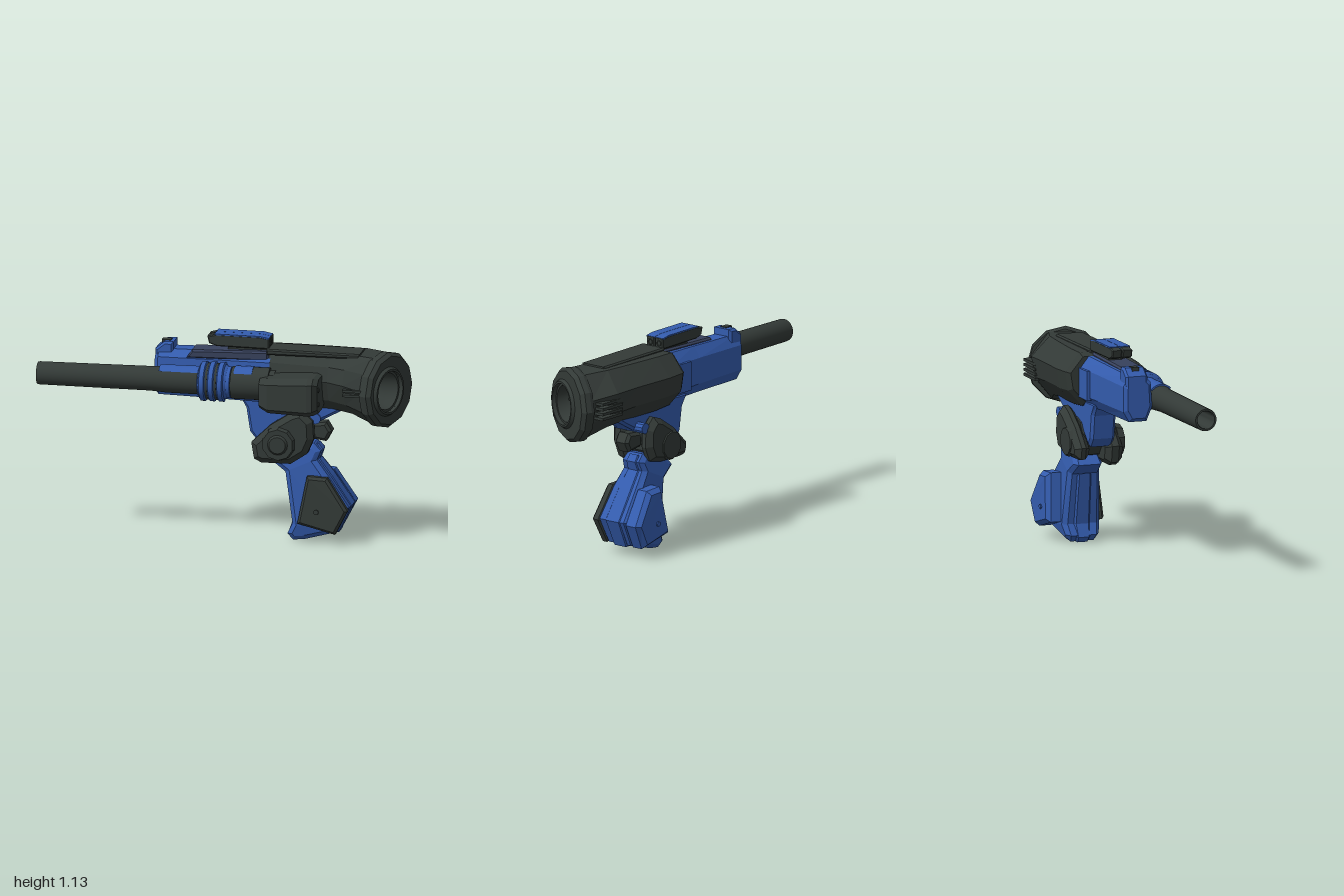
import * as THREE from 'three';
import { toCreasedNormals } from 'three/addons/utils/BufferGeometryUtils.js';

const paint = (name, color) => Object.assign(new THREE.MeshStandardMaterial({ color }), { name });

export function createModel() {
  const group = new THREE.Group();
  const dark = paint('dark gunmetal', 0x333a37);
  const blue = paint('blue', 0x345cae);
  const slate = paint('blue slate', 0x37415c);

  const add = (name, geo, mat) => {
    const m = new THREE.Mesh(geo, mat);
    m.name = name;
    group.add(m);
    return m;
  };
  const box = (name, mat, x0, x1, y0, y1, z0, z1) =>
    add(name, new THREE.BoxGeometry(x1 - x0, y1 - y0, z1 - z0), mat)
      .position.set((x0 + x1) / 2, (y0 + y1) / 2, (z0 + z1) / 2);

  // Bevelled plate with an x/y outline, between two z depths
  const slab = (name, mat, pts, z0, z1, b = 0.015) => {
    const shape = new THREE.Shape(pts.map(([x, y]) => new THREE.Vector2(x, y)));
    const geo = new THREE.ExtrudeGeometry(shape, {
      depth: z1 - z0 - 2 * b, bevelEnabled: b > 0, bevelThickness: b, bevelSize: b, bevelOffset: -b, bevelSegments: 1,
    });
    geo.translate(0, 0, z0 + b);
    return add(name, geo, mat);
  };

  // Narrows a grip part in z toward its top and its foot
  const taper = (mesh) => {
    const p = mesh.geometry.attributes.position;
    for (let i = 0; i < p.count; i++) {
      const y = p.getY(i);
      const top = THREE.MathUtils.clamp((y - 0.3) / 0.24, 0, 1), foot = THREE.MathUtils.clamp((0.09 - y) / 0.09, 0, 1);
      p.setZ(i, -0.095 + (p.getZ(i) + 0.095) * (1 - 0.4 * top - 0.22 * foot));
    }
    mesh.geometry.computeVertexNormals();
  };

  // Faceted body through convex cross-sections, each [x, z0, z1, y0, y1, tilt]
  const loft = (name, mat, unit, sections, openEnd = false) => {
    const rings = sections.map(([x, z0, z1, y0, y1, tilt = 0]) => unit.map(([u, v]) => {
      const dz = u * (z1 - z0) / 2;
      return [x - dz * tilt, (y0 + y1) / 2 + v * (y1 - y0) / 2, (z0 + z1) / 2 + dz];
    }));
    const out = [], n = unit.length, last = rings.length - 1;
    for (let s = 0; s < last; s++) for (let i = 0; i < n; i++) {
      const j = (i + 1) % n;
      const a = rings[s][i], b = rings[s][j], c = rings[s + 1][j], d = rings[s + 1][i];
      out.push(...a, ...b, ...d, ...b, ...c, ...d);
    }
    for (let i = 1; i < n - 1; i++) {
      out.push(...rings[0][0], ...rings[0][i + 1], ...rings[0][i]);
      if (!openEnd) out.push(...rings[last][0], ...rings[last][i], ...rings[last][i + 1]);
    }
    const geo = new THREE.BufferGeometry();
    geo.setAttribute('position', new THREE.Float32BufferAttribute(out, 3));
    geo.computeVertexNormals();
    return add(name, geo, mat);
  };

  const turned = (pts, sides, crease = 0.6) => toCreasedNormals(
    new THREE.LatheGeometry(pts.map(([r, t]) => new THREE.Vector2(r, t)), sides), crease);
  // Puts a part turned about y onto the barrel axis
  const onBarrel = (name, mat, geo, x = 0) => {
    const m = add(name, geo, mat);
    m.rotation.z = -Math.PI / 2;
    m.position.set(x, 0.89, 0.095);
  };
  // Short cylinder along z
  const disc = (name, mat, x, y, z0, z1, r, sides = 16, r1 = r, r0 = r) => {
    const g = toCreasedNormals(new THREE.CylinderGeometry(r1, r0, z1 - z0, sides).rotateX(Math.PI / 2), 0.45);
    add(name, g, mat).position.set(x, y, (z0 + z1) / 2);
  };

  // Cross-sections as [z, y] loops
  const octagon = [[-1, 0.55], [-0.6, 1], [0.6, 1], [1, 0.55], [1, -0.55], [0.6, -1], [-0.6, -1], [-1, -0.55]];

  // Barrel with bore, blue upper saddles, collar and sleeve
  onBarrel('barrel', dark, turned([[0, -0.7], [0.046, -0.7], [0.046, -0.99], [0.05, -1], [0.06, -1], [0.062, -0.99],
    [0.066, -0.38], [0.072, -0.3], [0.074, -0.1], [0.074, 0.3]], 32));
  for (const [x, len, r] of [[-0.22, 0.22, 0.079], [0.13, 0.1, 0.091]])
    onBarrel('barrelSaddle', blue, toCreasedNormals(
      new THREE.CylinderGeometry(r, r, len, 12, 1, false, Math.PI * 1.22, Math.PI * 0.53), 0.6), x);
  onBarrel('collar', blue, turned([[0.07, -0.12], [0.095, -0.11], [0.098, -0.09], [0.098, 0.01], [0.092, 0.03],
    [0.085, 0.04], [0.085, 0.06], [0.07, 0.06]], 32));
  for (const x of [-0.09, -0.04, 0.01]) onBarrel('collarRing', blue, turned(
    [[0.095, x - 0.018], [0.107, x - 0.012], [0.107, x + 0.012], [0.095, x + 0.018]], 32));
  for (const x of [-0.065, -0.015]) onBarrel('collarGroove', dark, turned(
    [[0.09, x - 0.006], [0.1, x - 0.006], [0.1, x + 0.006], [0.09, x + 0.006]], 32));
  onBarrel('rearSleeve', dark, turned([[0.07, 0.06], [0.088, 0.065], [0.088, 0.27], [0.07, 0.27]], 32));

  // Blue front housing with a long sloped flank
  const housingRing = [[-1, 0.55], [-0.6, 1], [0.4, 1], [0.9, 0.7], [1, -0.4], [0.6, -1], [-0.6, -1], [-1, -0.55]];
  loft('frontHousing', blue, housingRing, [[-0.38, -0.115, 0.01, 0.8, 1.01], [-0.36, -0.135, 0.03, 0.78, 1.03],
    [0, -0.145, 0.055, 0.775, 1.035], [0.26, -0.16, 0.08, 0.77, 1.04]]);
  slab('housingTopPlate', slate, [[-0.2, 1.0], [0.25, 1.0], [0.25, 1.055], [-0.17, 1.045]], -0.085, 0.045, 0.01);
  slab('frontSightBase', blue, [[-0.38, 0.97], [-0.28, 0.97], [-0.28, 1.07], [-0.33, 1.07], [-0.38, 1.03]], -0.125, 0.0, 0.012);
  box('frontSightNotch', dark, -0.35, -0.3, 1.05, 1.074, -0.08, -0.04);
  box('housingShoulder', blue, 0.1, 0.26, 0.82, 0.98, -0.168, -0.1);

  // Dark hull flaring into the tilted rear port
  const hullRing = [[-1, 0.3], [-0.5, 0.98], [0.4, 1], [0.85, 0.6], [1, 0.1], [0.8, -0.6], [0.4, -1], [-0.4, -1], [-0.9, -0.4]];
  loft('hull', dark, hullRing, [[0.22, -0.215, 0.07, 0.79, 1.04], [0.25, -0.235, 0.085, 0.765, 1.06],
    [0.37, -0.24, 0.095, 0.755, 1.06], [0.6, -0.23, 0.12, 0.75, 1.06, 0.1], [0.73, -0.225, 0.155, 0.735, 1.06, 0.3],
    [0.858, -0.168, 0.172, 0.688, 1.054, 0.456]], true);
  slab('hullTopRidge', dark, [[0.24, 1.04], [0.75, 1.04], [0.75, 1.067], [0.24, 1.072]], -0.1, 0.06, 0.008);
  const port = new THREE.Group();
  port.name = 'rearPort';
  const outer = add('portShell', turned([[0.11, -0.06], [0.2, -0.06], [0.208, -0.04], [0.208, -0.01], [0.19, 0.012]], 12, 0.1), dark);
  // Face plate with an off-centre hole
  const face = new THREE.Shape();
  for (let i = 0; i < 12; i++) {
    const a = i * Math.PI / 6;
    face[i ? 'lineTo' : 'moveTo'](0.19 * Math.sin(a), 0.19 * Math.cos(a));
  }
  face.holes.push(new THREE.Path().absarc(0, -0.03, 0.112, 0, Math.PI * 2, true));
  const plate = add('portFace', new THREE.ShapeGeometry(face, 24).rotateX(-Math.PI / 2), dark);
  plate.position.y = 0.012;
  const inner = add('portBore', turned([[0.135, 0.012], [0.124, 0.028], [0.113, 0.028], [0.112, 0.005], [0.1, 0.005],
    [0.095, -0.07], [0.07, -0.11], [0.06, -0.17], [0, -0.17]], 32), dark);
  inner.position.z = 0.03;
  port.add(outer, plate, inner);
  // Port axis points to the rear and 25 degrees toward the front side
  const yaw = 0.43;
  port.quaternion.setFromRotationMatrix(new THREE.Matrix4().makeBasis(new THREE.Vector3(0, -1, 0),
    new THREE.Vector3(Math.cos(yaw), 0, Math.sin(yaw)), new THREE.Vector3(-Math.sin(yaw), 0, Math.cos(yaw))));
  port.position.set(0.907, 0.87, 0.02);
  group.add(port);
  for (let i = 0; i < 4; i++) {
    box('backVentFin', dark, 0.74, 0.91, 0.82 + i * 0.027, 0.835 + i * 0.027, -0.222, -0.13);
    if (i < 2) box('frontVentFin', dark, 0.68, 0.8, 0.86 + i * 0.025, 0.873 + i * 0.025, 0.1, 0.18);
  }

  // Side pod with bolts
  loft('sidePod', dark, octagon.map(([u, v]) => [u, v * (Math.abs(v) < 1 ? 1.3 : 1)]), [[0.23, 0.05, 0.22, 0.78, 0.94],
    [0.28, 0.04, 0.255, 0.76, 0.95], [0.5, 0.04, 0.275, 0.755, 0.965], [0.53, 0.04, 0.27, 0.76, 0.965], [0.555, 0.04, 0.24, 0.77, 0.955]]);
  for (const y of [0.82, 0.9]) {
    const bolt = add('podBolt', new THREE.CylinderGeometry(0.013, 0.013, 0.02, 8), dark);
    bolt.rotation.z = Math.PI / 2;
    bolt.position.set(0.55, y, 0.215);
  }

  // Twin scope with blue tops
  box('scopeMount', dark, 0.02, 0.23, 1.03, 1.08, -0.075, 0.005);
  for (const z of [-0.093, -0.034]) {
    slab('scopeTube', dark, [[-0.09, 1.12], [-0.08, 1.08], [-0.04, 1.066], [0.25, 1.062], [0.25, 1.12], [0.2, 1.13], [-0.04, 1.132]], z, z + 0.057, 0.006);
    slab('scopeTopPlate', blue, [[-0.05, 1.127], [0.2, 1.125], [0.245, 1.116], [0.248, 1.123], [0.2, 1.132], [-0.05, 1.134]], z, z + 0.057, 0);
    const lens = add('scopeLens', new THREE.TorusGeometry(0.014, 0.004, 6, 12).rotateY(Math.PI / 2), dark);
    lens.position.set(0.25, 1.093, z + 0.028);
  }

  // Blue under-mount
  slab('underMount', blue, [[0.08, 0.8], [0.12, 0.73], [0.14, 0.6], [0.18, 0.55], [0.3, 0.66], [0.5, 0.66], [0.7, 0.77], [0.7, 0.8]], -0.13, 0.01);
  disc('mountPin', blue, 0.5, 0.69, -0.18, 0.02, 0.03, 10);

  // Dark pivot joint
  const cheek = [[0.155, 0.55], [0.17, 0.46], [0.21, 0.44], [0.37, 0.44], [0.46, 0.5], [0.495, 0.58], [0.49, 0.68],
    [0.43, 0.74], [0.37, 0.72], [0.26, 0.65]];
  slab('jointFrontCheek', dark, cheek, -0.03, 0.07, 0.03);
  slab('jointBackCheek', dark, cheek.map(([x, y]) => [x, y < 0.5 ? 0.48 + (y - 0.44) * 0.3 : y]), -0.205, -0.12, 0.03);
  disc('jointCore', dark, 0.34, 0.58, -0.14, 0, 0.11, 10);
  disc('jointFrontDisc', dark, 0.31, 0.555, 0.06, 0.1, 0.095, 10, 0.085);
  disc('jointFrontCap', dark, 0.31, 0.555, 0.1, 0.112, 0.055, 16, 0.045);
  disc('jointBackDisc', dark, 0.31, 0.565, -0.212, -0.19, 0.085, 10, 0.085, 0.075);
  slab('rearKnob', dark, [[0.45, 0.57], [0.55, 0.555], [0.58, 0.61], [0.55, 0.66], [0.45, 0.65]], -0.115, -0.025);

  // Blue grip with side panels
  taper(slab('gripCore', blue, [[0.25, 0.44], [0.33, 0.52], [0.48, 0.54], [0.52, 0.5], [0.5, 0.45], [0.57, 0.36], [0.68, 0.2],
    [0.61, 0.06], [0.43, 0.01], [0.37, 0.005], [0.34, 0.04], [0.37, 0.1], [0.33, 0.38]], -0.2, 0.015, 0.025));
  taper(slab('gripSpine', blue, [[0.4, 0.3], [0.46, 0.52], [0.5, 0.535], [0.526, 0.5], [0.508, 0.45], [0.577, 0.36], [0.685, 0.2],
    [0.615, 0.05], [0.5, 0.05]], -0.15, -0.05, 0.006));
  taper(slab('gripFrontRidge', blue, [[0.32, 0.38], [0.35, 0.38], [0.4, 0.1], [0.4, 0.0], [0.36, 0.0], [0.335, 0.03], [0.36, 0.1]], -0.14, -0.05, 0.01));
  const panel = [[0.455, 0.37], [0.405, 0.11], [0.61, 0.055], [0.68, 0.19], [0.565, 0.365]];
  taper(slab('gripFrontPanel', dark, panel, -0.01, 0.05, 0.014));
  taper(slab('gripBackPanel', blue, panel, -0.28, -0.17, 0.022));
  disc('frontPanelBolt', dark, 0.51, 0.18, 0.045, 0.053, 0.014, 8);
  disc('backPanelBolt', blue, 0.51, 0.18, -0.283, -0.275, 0.014, 8);

  return group;
}
